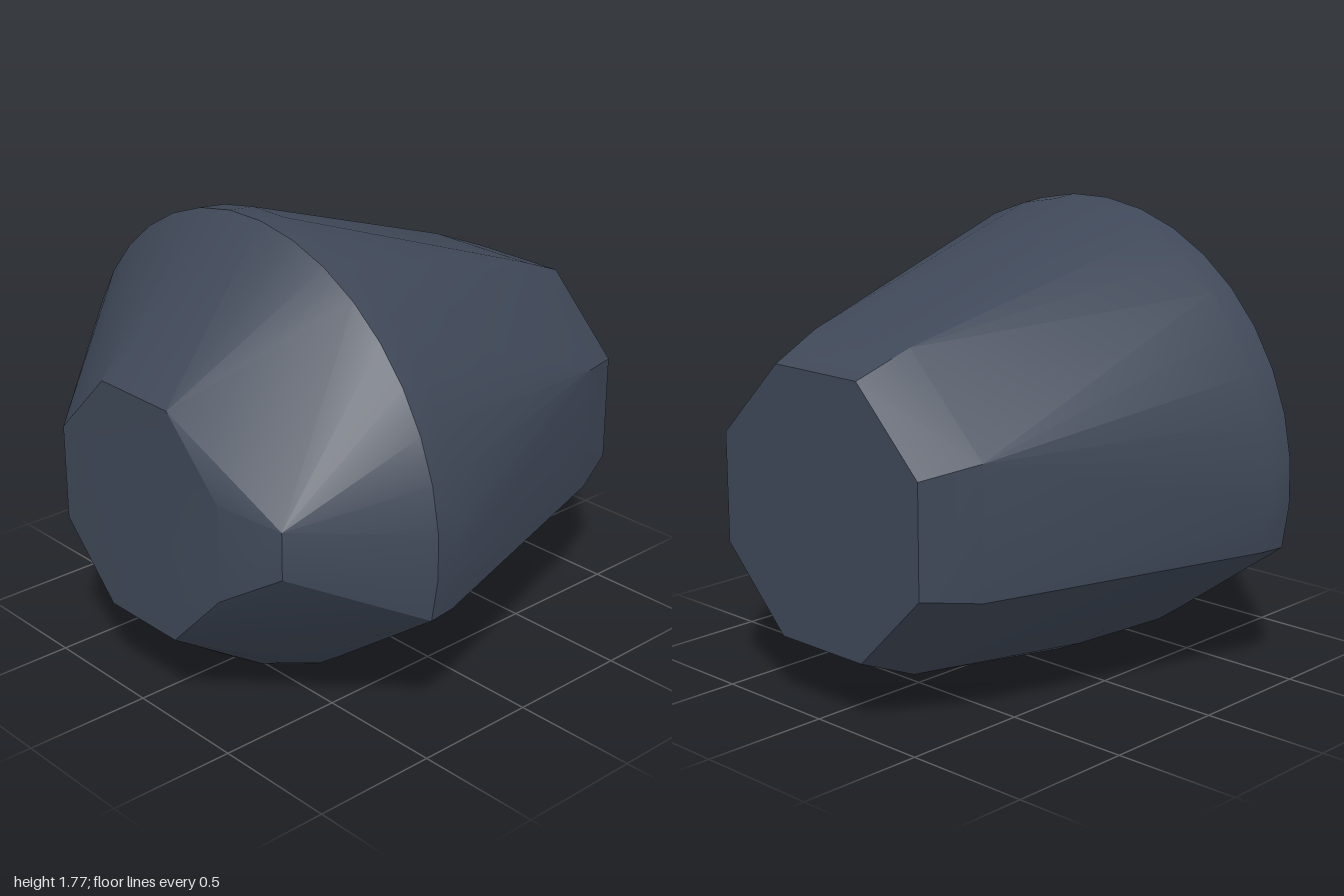
import * as THREE from 'three';
import { ConvexGeometry } from 'three/addons/geometries/ConvexGeometry.js';
import { toCreasedNormals } from 'three/addons/utils/BufferGeometryUtils.js';

const AXIS_Y = 0.77;
const rad = THREE.MathUtils.degToRad;

// Points of an arc around the body's long axis, angles in degrees from +x
function ring(radius, z, from, to, steps) {
  return Array.from({ length: steps + 1 }, (_, i) => {
    const a = rad(from + ((to - from) * i) / steps);
    return new THREE.Vector3(radius * Math.cos(a), AXIS_Y + radius * Math.sin(a), z);
  });
}

// Octagon with flat top, bottom and sides, given by its half width
const octagon = (half, z) => ring(half / Math.cos(rad(22.5)), z, 22.5, 337.5, 7);

export function createModel() {
  const points = [
    // broad upper rim, open towards the bottom
    ...ring(1, 0.46, -14, 194, 21),
    ...ring(0.99, 0.35, -14, 194, 21),
    // narrower round belly
    ...ring(0.71, 0.62, 0, 350, 35),
    ...ring(0.77, 0.46, 0, 350, 35),
    ...ring(0.75, 0, 0, 350, 35),
    // octagonal front and back ends
    ...octagon(0.45, 0.98),
    ...octagon(0.6, -0.76),
    ...octagon(0.51, -0.98),
    // small ridge on the left of the front
    new THREE.Vector3(0.7, 0.92, 0.905),
    new THREE.Vector3(0.7, 0.74, 0.905),
  ];

  const body = new THREE.Mesh(
    toCreasedNormals(new ConvexGeometry(points), rad(20)),
    new THREE.MeshStandardMaterial({ color: 0x3f4858 })
  );
  body.name = 'body';

  const model = new THREE.Group();
  model.name = 'facetedHousing';
  model.add(body);
  return model;
}
